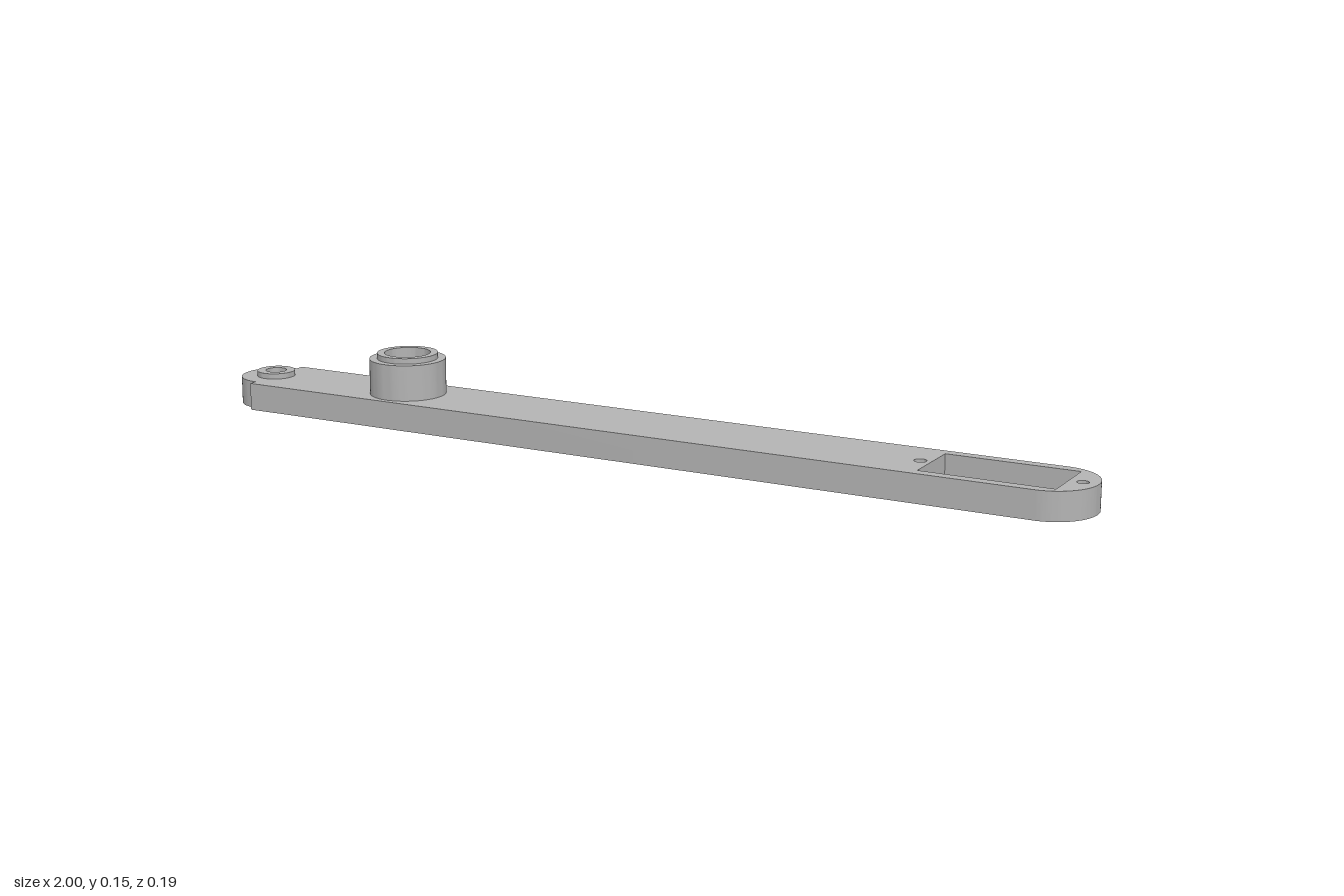
import * as THREE from 'three';
import { toCreasedNormals } from 'three/addons/utils/BufferGeometryUtils.js';

const THICK = 0.06;      // arm thickness
const HALF = 0.096;      // arm half width
const PIVOT_X = -0.923;  // small boss at the narrow end
const HUB_X = -0.566;    // large hub

export function createModel() {
  const group = new THREE.Group();
  group.name = 'leverArm';
  const grey = new THREE.MeshStandardMaterial({ color: 0xb4b4b4 });
  grey.name = 'grey';

  const add = (name, geometry, x = 0) => {
    const mesh = new THREE.Mesh(toCreasedNormals(geometry, 0.5), grey);
    mesh.name = name;
    mesh.position.x = x;
    group.add(mesh);
  };

  // Flat arm: narrow rounded lug on one end, full round on the other
  const lugR = 0.077, shoulder = -0.923, endX = 1 - HALF;
  const outline = new THREE.Shape();
  outline.moveTo(shoulder, -HALF);
  outline.lineTo(endX, -HALF);
  outline.absarc(endX, 0, HALF, -Math.PI / 2, Math.PI / 2, false);
  outline.lineTo(shoulder, HALF);
  outline.lineTo(shoulder, lugR);
  outline.absarc(PIVOT_X, 0, lugR, Math.PI / 2, Math.PI * 1.5, false);
  outline.closePath();

  // Round holes: pivot, hub and the two screws
  for (const [x, r] of [[PIVOT_X, 0.023], [HUB_X, 0.05], [0.637, 0.013], [0.968, 0.012]]) {
    outline.holes.push(new THREE.Path().absarc(x, 0, r, 0, Math.PI * 2, true));
  }
  // Rectangular pocket through the arm
  const slot = new THREE.Path();
  slot.moveTo(0.66, -0.072);
  slot.lineTo(0.66, 0.072);
  slot.lineTo(0.94, 0.072);
  slot.lineTo(0.94, -0.072);
  slot.closePath();
  outline.holes.push(slot);

  const arm = new THREE.ExtrudeGeometry(outline, { depth: THICK, bevelEnabled: false, curveSegments: 32 });
  arm.rotateX(-Math.PI / 2);
  add('arm', arm);

  // Hollow bosses, profiles running from the outer foot to the inner foot
  const boss = (points) => new THREE.LatheGeometry(points.map(([r, y]) => new THREE.Vector2(r, y)), 64);
  add('hub', boss([[0.083, THICK], [0.083, 0.138], [0.066, 0.138], [0.066, 0.15], [0.05, 0.15], [0.05, THICK]]), HUB_X);
  add('pivotBoss', boss([[0.042, THICK], [0.042, 0.072], [0.023, 0.072], [0.023, THICK]]), PIVOT_X);

  return group;
}
